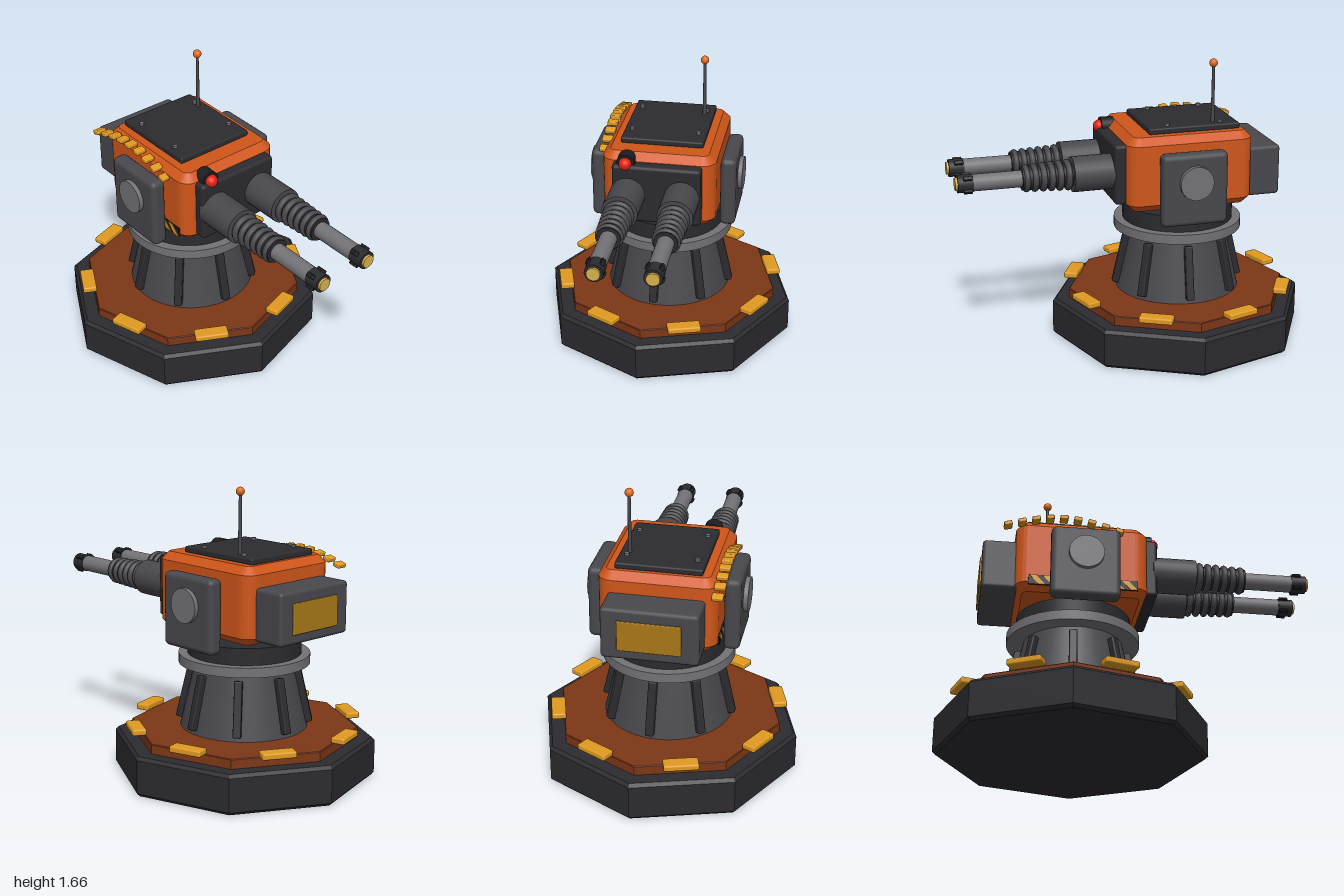
import * as THREE from 'three';
import { RoundedBoxGeometry } from 'three/addons/geometries/RoundedBoxGeometry.js';

const mat = (color, flatShading = false) => new THREE.MeshStandardMaterial({ color, flatShading });
const DARK = mat(0x2b2b30), DARK_FLAT = mat(0x2b2b30, true), BLACK = mat(0x1d1d20);
const GREY = mat(0x48484d), LIGHT = mat(0x737378), YELLOW = mat(0xe09a20);
const ORANGE = mat(0xd0561a, true), RUST = mat(0x7d3716, true);
const BRASS = mat(0xd6b04c), OCHRE = mat(0xa87818), RED = mat(0xe02010), TIP = mat(0xe06a20);

function add(parent, name, geometry, material, x = 0, y = 0, z = 0) {
  const mesh = new THREE.Mesh(geometry, material);
  mesh.name = name;
  mesh.position.set(x, y, z);
  parent.add(mesh);
  return mesh;
}

const box = (w, h, d, r = 0.01) => new RoundedBoxGeometry(w, h, d, 2, r);
const cyl = (rTop, rBottom, h, n = 32) => new THREE.CylinderGeometry(rTop, rBottom, h, n);
// Cylinder lying along x, from x0 to x1
const rod = (r, x0, x1, n = 24) => cyl(r, r, x1 - x0, n).rotateZ(-Math.PI / 2).translate((x0 + x1) / 2, 0, 0);

// Octagonal slab with chamfered edges and flat sides on the axes
function octagon(apothem, y0, y1, c) {
  const r = apothem / Math.cos(Math.PI / 8);
  const points = [[0, y0], [r - c, y0], [r, y0 + c], [r, y1 - c], [r - c, y1], [0, y1]];
  return new THREE.LatheGeometry(points.map(p => new THREE.Vector2(...p)), 8, Math.PI / 8);
}

// Upright block with rounded corners and chamfered top and bottom
function chamferedBlock(x0, x1, halfZ, y0, y1, bevel, radius) {
  const a = x0 + bevel, b = x1 - bevel, h = halfZ - bevel, r = radius;
  const s = new THREE.Shape();
  s.absarc(b - r, h - r, r, 0, Math.PI / 2);
  s.absarc(a + r, h - r, r, Math.PI / 2, Math.PI);
  s.absarc(a + r, r - h, r, Math.PI, Math.PI * 1.5);
  s.absarc(b - r, r - h, r, Math.PI * 1.5, Math.PI * 2);
  s.closePath();
  return new THREE.ExtrudeGeometry(s, {
    depth: y1 - y0 - 2 * bevel, bevelThickness: bevel, bevelSize: bevel, bevelSegments: 1, curveSegments: 3,
  }).rotateX(-Math.PI / 2).translate(0, y0 + bevel, 0);
}

function createBase() {
  const base = new THREE.Group();
  base.name = 'base';
  add(base, 'foundation', octagon(0.685, 0, 0.225, 0.018), DARK_FLAT);
  add(base, 'deck', octagon(0.595, 0.22, 0.28, 0.004), RUST);
  add(base, 'pedestal', cyl(0.275, 0.36, 0.37, 48), GREY, 0, 0.465);
  add(base, 'bearingRing', cyl(0.37, 0.37, 0.055, 48), LIGHT, 0, 0.673);
  add(base, 'collar', cyl(0.32, 0.32, 0.096, 48), DARK, 0, 0.748);
  for (let i = 0; i < 8; i++) {
    const spoke = new THREE.Group();
    spoke.name = 'spoke';
    spoke.rotation.y = i * Math.PI / 4;
    add(spoke, 'warningPad', box(0.08, 0.036, 0.19), YELLOW, 0.625, 0.298);
    base.add(spoke);
    // Sloping ribs sit between the pads
    const ribSpoke = new THREE.Group();
    ribSpoke.name = 'ribSpoke';
    ribSpoke.rotation.y = (i + 0.5) * Math.PI / 4;
    add(ribSpoke, 'rib', box(0.05, 0.31, 0.045, 0.008), DARK, 0.33, 0.455).rotation.z = 0.226;
    base.add(ribSpoke);
  }
  return base;
}

function createBarrel(z) {
  const barrel = new THREE.Group();
  barrel.name = 'barrel';
  barrel.position.set(0, 1.045, z);
  add(barrel, 'housing', rod(0.1, 0.42, 0.665), GREY);
  add(barrel, 'recoilCore', rod(0.066, 0.66, 0.95), DARK);
  for (let i = 0; i < 6; i++) {
    const ring = new THREE.TorusGeometry(0.07 - i * 0.002, 0.018, 8, 28).rotateY(Math.PI / 2);
    add(barrel, 'coolingRing', ring, GREY, 0.69 + i * 0.047);
  }
  add(barrel, 'tube', rod(0.047, 0.93, 1.24), LIGHT);
  add(barrel, 'muzzle', rod(0.05, 1.22, 1.305), DARK);
  add(barrel, 'muzzleTip', rod(0.036, 1.3, 1.318), BRASS);
  for (let i = 0; i < 4; i++) {
    const a = Math.PI / 4 + i * Math.PI / 2;
    const lug = add(barrel, 'muzzleLug', box(0.05, 0.02, 0.024, 0.004), BLACK, 1.25, 0.052 * Math.cos(a), 0.052 * Math.sin(a));
    lug.rotation.x = a;
  }
  return barrel;
}

// Dark strip with slanted yellow bars
function createHazardStrip() {
  const strip = new THREE.Group();
  strip.name = 'hazardStrip';
  strip.position.set(0.02, 0.888, 0.321);
  add(strip, 'stripBacking', new THREE.BoxGeometry(0.6, 0.056, 0.01), BLACK);
  const bar = new THREE.Shape([[-0.045, 0.028], [-0.008, 0.028], [0.045, -0.028], [0.008, -0.028]]
    .map(p => new THREE.Vector2(...p)));
  for (let i = 0; i < 8; i++) {
    add(strip, 'hazardBar', new THREE.ExtrudeGeometry(bar, { depth: 0.004, bevelEnabled: false }),
      YELLOW, -0.252 + i * 0.072, 0, 0.004);
  }
  return strip;
}

function createHead() {
  const head = new THREE.Group();
  head.name = 'turretHead';
  head.rotation.y = -0.3;
  add(head, 'body', chamferedBlock(-0.35, 0.38, 0.32, 0.835, 1.262, 0.042, 0.035), ORANGE);
  add(head, 'roofPlate', box(0.53, 0.036, 0.47), DARK, -0.025, 1.277);
  for (const x of [-0.185, 0.125]) for (const z of [-0.19, 0.19]) {
    add(head, 'roofBolt', cyl(0.013, 0.013, 0.016, 12), LIGHT, x, 1.3, z);
  }
  // Antenna
  add(head, 'antennaMast', cyl(0.008, 0.011, 0.34, 12), GREY, -0.145, 1.46, -0.183);
  add(head, 'antennaTip', new THREE.SphereGeometry(0.024, 20, 14), TIP, -0.145, 1.634, -0.183);
  // Rear pack
  add(head, 'rearPack', box(0.2, 0.29, 0.52, 0.02), GREY, -0.43, 1.005);
  add(head, 'rearPanel', box(0.016, 0.17, 0.34, 0.005), OCHRE, -0.532, 1.0);
  // Side armour pods
  for (const side of [-1, 1]) {
    add(head, 'sidePod', box(0.38, 0.415, 0.09, 0.03), GREY, 0.025, 0.977, side * 0.372);
    add(head, 'podDisc', cyl(0.096, 0.096, 0.04).rotateX(Math.PI / 2), LIGHT, 0.025, 1.022, side * 0.422);
  }
  head.add(createHazardStrip());
  // Front gun mount and barrels
  add(head, 'gunMount', box(0.1, 0.345, 0.5, 0.02), DARK, 0.392, 1.045);
  head.add(createBarrel(-0.145), createBarrel(0.16));
  // Sensor light
  const sensor = new THREE.Group();
  sensor.name = 'sensor';
  sensor.position.set(0, 1.22, 0.175);
  add(sensor, 'sensorHousing', rod(0.052, 0.34, 0.415), BLACK);
  add(sensor, 'sensorLight', new THREE.SphereGeometry(0.037, 20, 14), RED, 0.42);
  head.add(sensor);
  // Arched ammunition belt
  for (let i = 0; i < 9; i++) {
    const t = i / 8;
    const round = add(head, 'beltRound', box(0.045, 0.025, 0.062, 0.006), YELLOW,
      -0.4 + 0.615 * t, 1.207 + 0.06 * Math.sin(Math.PI * t), 0.332);
    round.rotation.z = Math.atan(0.3 * Math.cos(Math.PI * t));
  }
  return head;
}

export function createModel() {
  const model = new THREE.Group();
  model.name = 'turret';
  const assembly = new THREE.Group();
  assembly.name = 'turretAssembly';
  assembly.position.x = -0.315;
  assembly.add(createBase(), createHead());
  model.add(assembly);
  return model;
}
